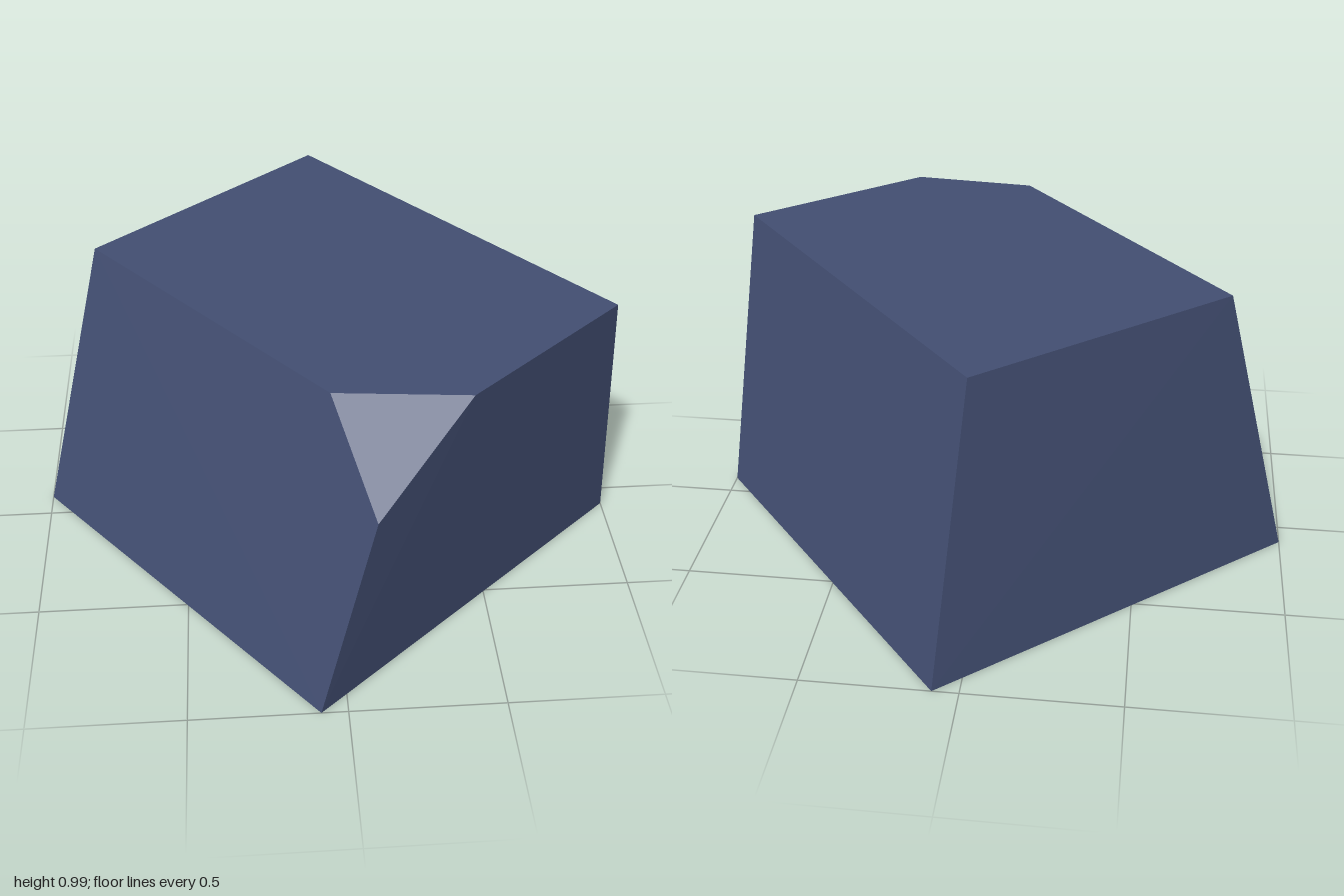
import * as THREE from 'three';
import { ConvexGeometry } from 'three/addons/geometries/ConvexGeometry.js';

export function createModel() {
  const slate = new THREE.MeshStandardMaterial({ color: 0x434f73, flatShading: true });
  slate.name = 'slateBlue';

  const v = (x, y, z) => new THREE.Vector3(x, y, z);
  const top = 0.99;

  // Rectangular foot, turned diagonally
  const foot = [v(-1, 0, -0.09), v(0.085, 0, -1), v(1, 0, 0.085), v(-0.085, 0, 1)];
  // Sheared top with one corner cut away
  const crown = [
    v(-0.76, top, -0.19), v(-0.01, top, -0.815), v(0.9, top, 0.27),
    v(0.38, top, 0.71), v(-0.035, top, 0.67),
  ];
  // Lowest point of the cut corner
  const chip = v(0.085, 0.705, 0.925);

  const block = new THREE.Mesh(new ConvexGeometry([...foot, ...crown, chip]), slate);
  block.name = 'chippedStoneBlock';

  const group = new THREE.Group();
  group.name = 'stone';
  group.add(block);
  return group;
}
